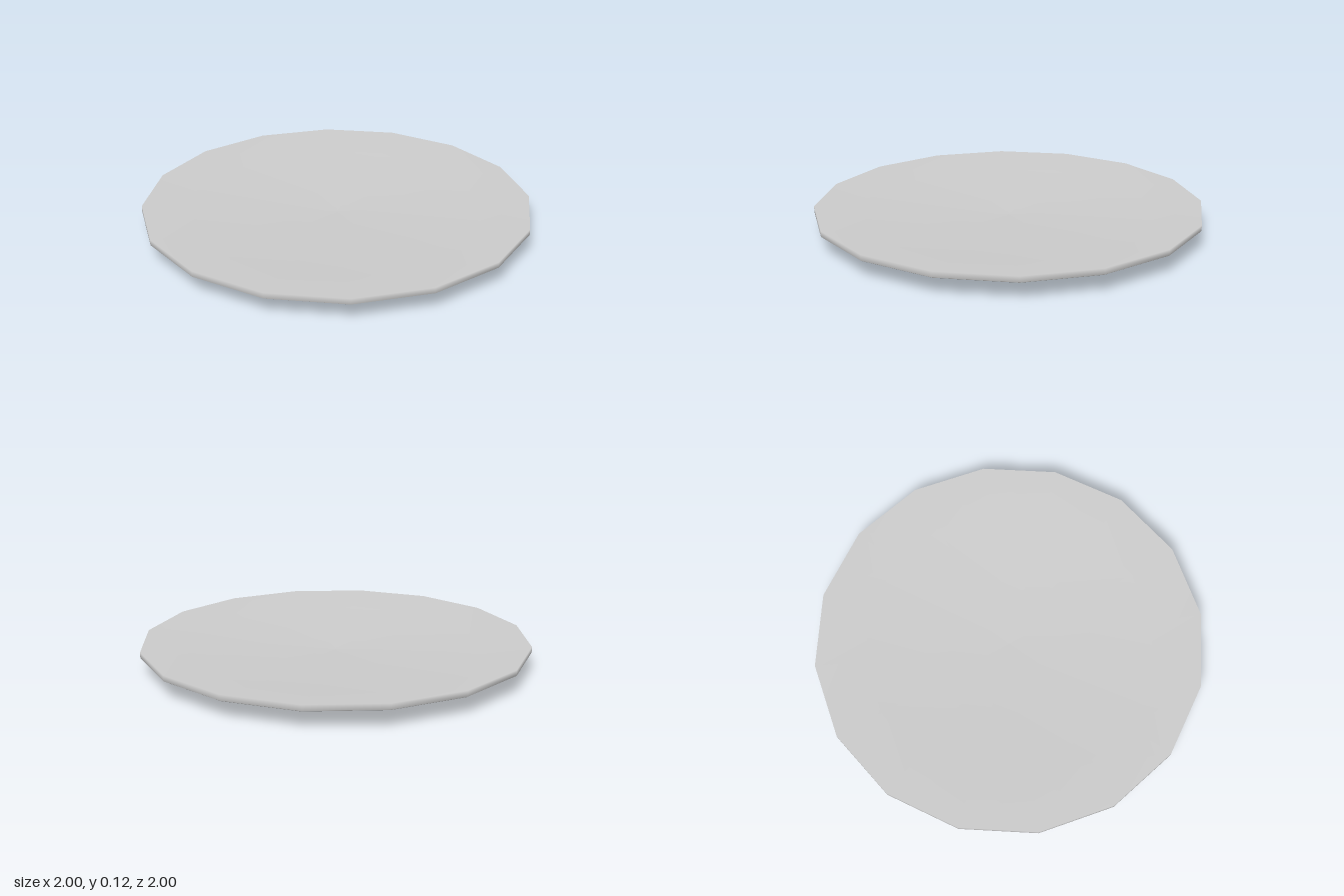
import * as THREE from 'three';

export function createModel() {
  const group = new THREE.Group();
  group.name = 'plate';

  // Closed profile: underside from the centre outwards, rim, then the shallow dish back in
  const profile = [
    [0, 0],
    [0.48, 0.012],
    [0.99, 0.085],
    [1, 0.091],
    [1, 0.12],
    [0.75, 0.083],
    [0, 0.063],
  ].map(([r, y]) => new THREE.Vector2(r, y));

  // Sixteen-sided smooth-shaded dish
  const dish = new THREE.Mesh(
    new THREE.LatheGeometry(profile, 16),
    new THREE.MeshStandardMaterial({ color: 0xcccccc })
  );
  dish.name = 'dish';
  group.add(dish);

  return group;
}
